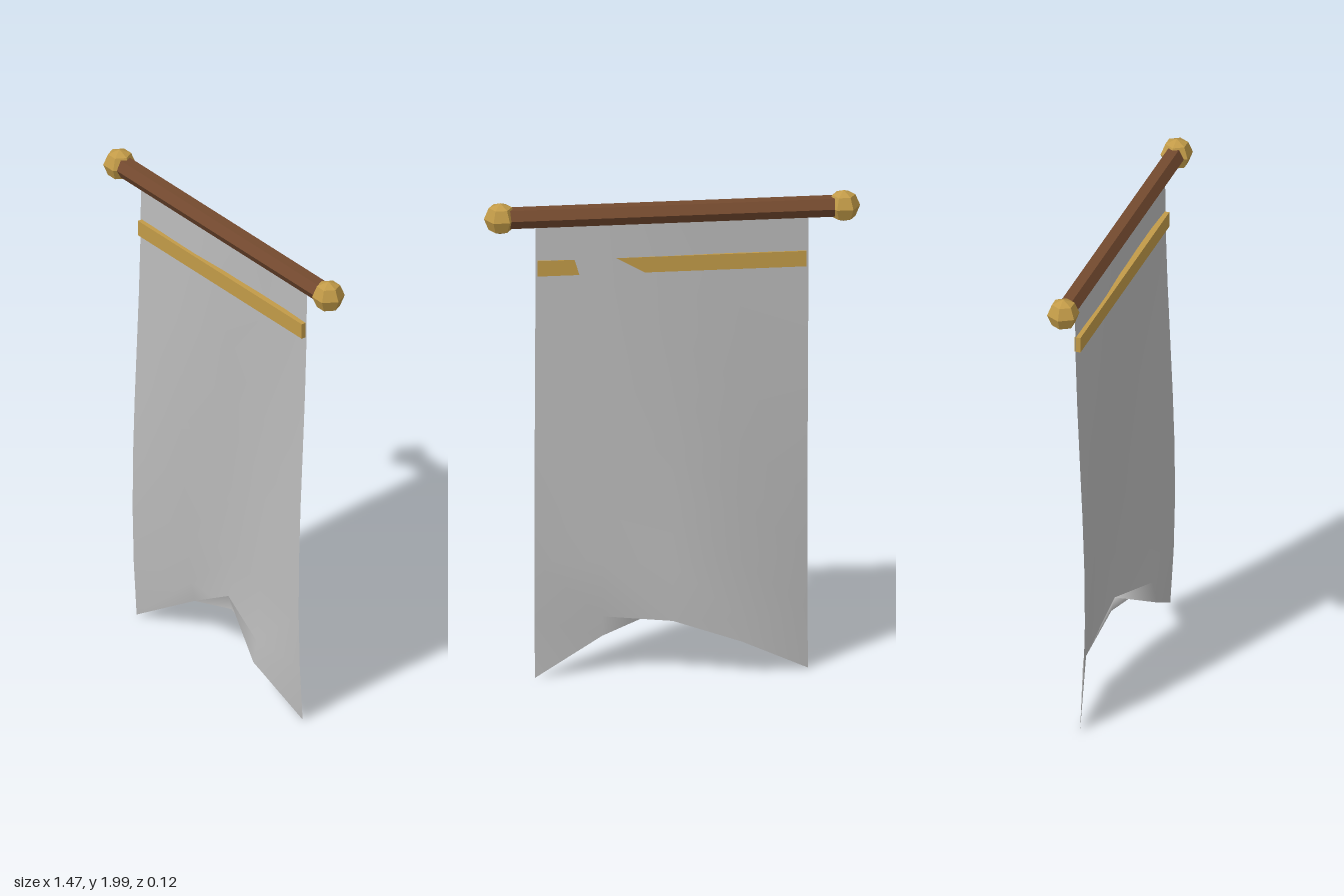
import * as THREE from 'three';

const cloth = new THREE.MeshStandardMaterial({ name: 'greyCloth', color: 0xbcbcbc, side: THREE.DoubleSide });
const gold = new THREE.MeshStandardMaterial({ name: 'gold', color: 0xc29b48, flatShading: true });
const wood = new THREE.MeshStandardMaterial({ name: 'brownWood', color: 0x744a2f, flatShading: true });

const ROD_Y = 1.936;

// Hanging cloth: a wave that grows and shifts downwards, with a notched hem
function makeCloth() {
  const cols = 4, rows = 8, width = 1.065, top = 1.91, bottom = 0.01;
  const geo = new THREE.PlaneGeometry(width, top - bottom, cols, rows);
  const pos = geo.attributes.position;
  for (let row = 0; row <= rows; row++) {
    for (let col = 0; col <= cols; col++) {
      const i = row * (cols + 1) + col;
      const phase = 0.35 * (row - 4.5);
      const z = 0.063 * (row / rows) * Math.cos(col * Math.PI / 2 + phase);
      let y = top - (top - bottom) * row / rows;
      // The hem rises to the middle and folds over the row above
      if (row === rows) y += 0.15 * (2 - Math.abs(col - 2));
      pos.setY(i, y);
      pos.setZ(i, z);
    }
  }
  geo.computeVertexNormals();
  return geo;
}

export function createModel() {
  const model = new THREE.Group();
  model.name = 'hangingBanner';

  function add(name, geo, material, x, y, z) {
    const mesh = new THREE.Mesh(geo, material);
    mesh.name = name;
    mesh.position.set(x, y, z);
    model.add(mesh);
    return mesh;
  }

  add('cloth', makeCloth(), cloth, 0, 0, 0);

  // Gold band across the upper cloth
  add('trimBand', new THREE.BoxGeometry(1.05, 0.064, 0.024), gold, 0, 1.722, 0.008);

  // Six-sided rod
  const rod = add('rod', new THREE.CylinderGeometry(0.043, 0.043, 1.33, 6), wood, 0, ROD_Y, 0);
  rod.rotation.z = Math.PI / 2;

  // Faceted end knobs
  for (const side of [-1, 1]) {
    add(side > 0 ? 'leftFinial' : 'rightFinial',
      new THREE.SphereGeometry(0.064, 6, 4), gold, side * 0.67, ROD_Y, 0);
  }

  return model;
}
